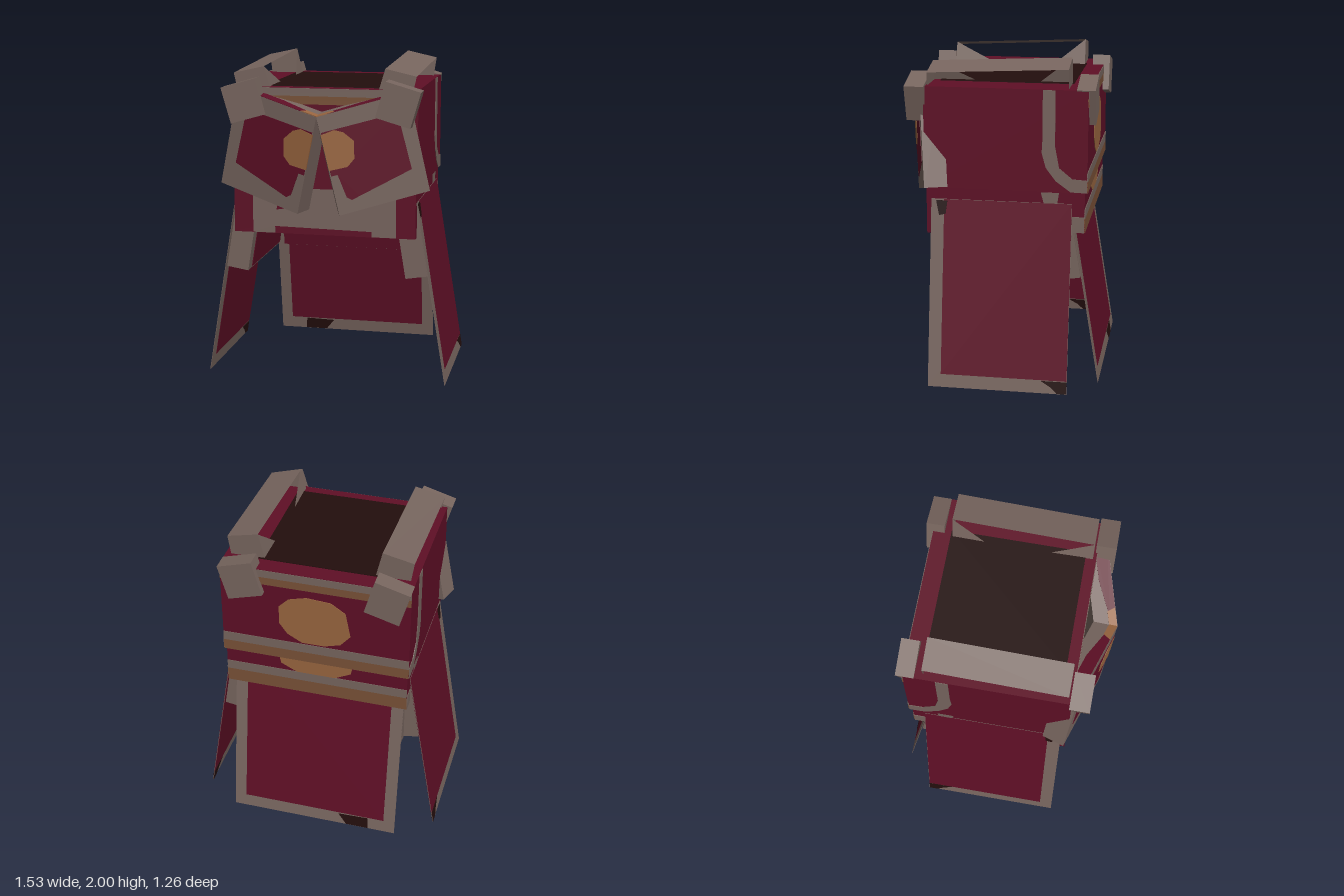
import * as THREE from 'three';

const mat = (name, color, side = THREE.FrontSide) => {
  const m = new THREE.MeshStandardMaterial({ color, side });
  m.name = name;
  return m;
};
const V = (a) => new THREE.Vector3(...a);

// Coordinate frame from an origin and two in-plane axes; the third is their unit normal
function frame(o, x, y) {
  const X = V(x), Y = V(y), N = X.clone().cross(Y).normalize();
  return new THREE.Matrix4().makeBasis(X, Y, N).setPosition(V(o));
}

export function createModel() {
  const root = new THREE.Group();
  root.name = 'armour';
  const cloth = mat('maroon', 0x5f0f26);
  const trim = mat('taupe trim', 0x78665f, THREE.DoubleSide);
  const gold = mat('ochre', 0x9a6640);
  const band = mat('brown band', 0x7a5238);
  const dark = mat('dark lining', 0x230e0d);

  const add = (name, geo, material) => {
    const mesh = new THREE.Mesh(geo, material);
    mesh.name = name;
    root.add(mesh);
    return mesh;
  };
  // Axis-aligned block in a frame, given by its ranges
  const block = (name, material, F, [x0, x1], [y0, y1], [z0, z1]) => {
    const g = new THREE.BoxGeometry(x1 - x0, y1 - y0, z1 - z0);
    g.translate((x0 + x1) / 2, (y0 + y1) / 2, (z0 + z1) / 2).applyMatrix4(F);
    return add(name, g, material);
  };
  // Thin painted plate centred on the frame's plane
  const plate = (name, material, F, pts, depth = 0.008, z = 0) => {
    const shape = new THREE.Shape(pts.map((p) => new THREE.Vector2(...p)));
    const g = new THREE.ExtrudeGeometry(shape, { depth, bevelEnabled: false });
    g.translate(0, 0, z - depth / 2).applyMatrix4(F);
    return add(name, g, material);
  };
  const rect = (x0, x1, y0, y1) => [[x0, y0], [x1, y0], [x1, y1], [x0, y1]];
  const world = new THREE.Matrix4();
  const wall = (z) => frame([0, 0, z], [1, 0, 0], [0, 1, 0]);

  // Upper body with dark neck opening and underside
  block('upperBody', [cloth, cloth, cloth, dark, cloth, cloth], world, [-0.58, 0.58], [1.22, 1.84], [-0.55, 0.44]);
  plate('neckOpening', dark, frame([0, 1.84, 0], [1, 0, 0], [0, 0, -1]), rect(-0.375, 0.375, -0.375, 0.44));
  for (const z of [0.44, -0.55]) {
    plate('collarTrim', trim, wall(z), rect(-0.58, 0.58, 1.79, 1.838));
    plate('collarBand', band, wall(z), rect(-0.58, 0.58, 1.74, 1.79));
  }

  // Lower body: front and back plates joined by the sides
  block('lowerFront', [cloth, cloth, cloth, dark, cloth, dark], world, [-0.57, 0.57], [0.93, 1.22], [0.35, 0.43]);
  plate('lowerFrontTrim', trim, wall(0.43),
    [[-0.45, 0.932], [-0.31, 0.932], [-0.31, 0.975], [0.3, 0.965], [0.3, 0.932], [0.45, 0.932], [0.45, 1.22], [-0.45, 1.22]]);
  plate('lowerFrontMark', cloth, wall(0.43), [[-0.3, 1.08], [-0.24, 1.09], [-0.22, 1.13], [-0.29, 1.12]], 0.0095);
  block('lowerBack', cloth, world, [-0.57, 0.57], [0.97, 1.22], [-0.535, -0.46]);

  // Back bands and emblem shapes
  const back = wall(-0.55), lowBack = wall(-0.535);
  plate('backTrim', trim, back, rect(-0.58, 0.58, 1.29, 1.35));
  plate('backBand', band, back, rect(-0.58, 0.58, 1.222, 1.29));
  plate('lowerBackTrim', trim, lowBack, rect(-0.57, 0.57, 1.06, 1.12));
  plate('lowerBackBand', band, lowBack, rect(-0.57, 0.57, 0.972, 1.06));
  plate('backDisc', gold, back, [[-0.22, 1.46], [-0.16, 1.39], [-0.06, 1.36], [0.08, 1.36], [0.17, 1.41],
    [0.22, 1.48], [0.22, 1.6], [0.16, 1.66], [0.05, 1.69], [-0.1, 1.68], [-0.19, 1.62]]);
  plate('lowerBackDisc', gold, lowBack, [[-0.23, 1.218], [-0.22, 1.17], [-0.12, 1.12], [0.12, 1.12], [0.22, 1.17], [0.23, 1.218]]);

  // Hanging back panel and its padded lining
  const slope = 0.165;
  const backF = frame([0, 0, -0.63], [1, 0, 0], [0, 1, slope]);
  plate('backPanel', trim, backF, rect(-0.54, 0.54, 0, 1.15), 0.003);
  plate('backPanelCloth', cloth, backF, rect(-0.465, 0.465, 0.08, 1.15), 0.007);
  plate('backPanelNotch', dark, backF, [[-0.365, 0.002], [-0.22, 0.002], [-0.165, 0.07], [-0.36, 0.075]], 0.007);
  block('backLining', trim, backF, [-0.54, 0.54], [0.68, 1.18], [0.006, 0.12]);
  plate('backLiningCloth', cloth, backF, rect(-0.465, 0.465, 0.682, 1.15), 0.008, 0.12);

  for (const m of [1, -1]) {
    const flip = (pts) => pts.map(([x, y]) => [m * x, y]);
    const span = (a, b) => (m > 0 ? [a, b] : [-b, -a]);

    // Body sides with the curved stripe
    block('lowerSide', [cloth, cloth, cloth, dark, cloth, cloth], world, span(0.5, 0.57), [1.05, 1.22], [-0.46, 0.35]);
    const sideF = frame([m * 0.58, 0, 0], [0, 0, -1], [0, 1, 0]);
    plate('sideStripe', trim, sideF, [[0.28, 1.838], [0.355, 1.838], [0.355, 1.5], [0.38, 1.37], [0.46, 1.305],
      [0.548, 1.3], [0.548, 1.222], [0.45, 1.225], [0.36, 1.29], [0.3, 1.37], [0.275, 1.46], [0.28, 1.55]]);
    const lowF = frame([m * 0.57, 0, 0], [0, 0, -1], [0, 1, 0]);
    plate('sideMark', trim, lowF, [[0.27, 1.215], [0.38, 1.215], [0.37, 1.15], [0.29, 1.14]]);
    plate('lowerBackEdge', trim, lowF, rect(0.46, 0.533, 0.972, 1.07));

    // Hanging side panel and its padded lining
    const panelF = frame([m * 0.76, 0, 0], [0, 0, -1], [-m * slope, 1, 0]);
    plate('sidePanel', trim, panelF, rect(-0.4, 0.46, 0, 1.15), 0.003);
    plate('sidePanelCloth', cloth, panelF, rect(-0.32, 0.458, 0.08, 1.148), 0.007);
    plate('sidePanelNotch', dark, panelF, [[0.458, 0.002], [0.4, 0.002], [0.36, 0.04], [0.3, 0.075], [0.458, 0.075]], 0.007);
    plate('sidePanelTopNotch', dark, panelF, [[-0.37, 1.14], [-0.3, 1.14], [-0.31, 1.06], [-0.35, 1.05]], 0.009);
    block('sideLining', trim, panelF, [-0.38, 0.44], [0.69, 1.2], m > 0 ? [-0.145, -0.006] : [0.006, 0.145]);
    plate('sideLiningCloth', cloth, panelF, rect(-0.3, 0.43, 0.7, 1.15), 0.008, -m * 0.145);

    // Tilted chest flap, drawn in its own frame: across, then down
    const o = [0, 1.69, 0.63];
    const across = [0.525, m * 0.145, -m * 0.155], up = [-m * 0.13, 0.6, 0.05];
    const flapF = frame(o, across, up);
    block('chestFlap', trim, flapF, span(0, 1), [-1, 0], [-0.14, 0]);
    plate('chestFlapCloth', cloth, flapF, flip([[0.01, -0.16], [0.84, -0.17], [0.86, -0.74], [0.26, -0.86],
      [0.17, -0.88], [0.12, -0.84], [0.08, -0.6], [0.01, -0.6]]), 0.006);
    plate('chestDisc', gold, flapF, flip([[0, -0.18], [0.15, -0.165], [0.24, -0.21], [0.33, -0.32],
      [0.29, -0.49], [0.2, -0.55], [0, -0.54]]), 0.0095);
    const normal = V(across).cross(V(up)).normalize().toArray();
    const topF = frame(o, across, normal);
    plate('flapTopCloth', cloth, topF, flip([[0.1, -0.002], [0.95, -0.002], [0.95, -0.08], [0.5, -0.08], [0.1, -0.04]]), 0.006);
    plate('flapTopMark', gold, topF, flip([[0, -0.002], [0.2, -0.002], [0.17, -0.05], [0, -0.05]]), 0.0095);

    // Shoulder pads front and back
    for (const [x, z, d] of [[0.475, 0.49, 0.12], [0.445, -0.535, 0.11]]) {
      const pad = add('shoulderPad', new THREE.BoxGeometry(0.22, 0.225, d), trim);
      pad.position.set(m * x, 1.763, z);
      pad.rotation.z = -m * 0.28;
    }

    // Shoulder strap: tilted sheet with end walls and inner gussets
    const of = [0.565, 1.92, 0.42], inf = [0.375, 1.963, 0.42];
    const ob = [0.565, 1.958, -0.43], inb = [0.375, 2, -0.43];
    const faces = [
      [of, ob, inb, inf],
      [of, inf, [0.335, 1.83, 0.42], [0.545, 1.83, 0.42]],
      [ob, [0.545, 1.83, -0.43], [0.335, 1.83, -0.43], inb],
      [inf, [0.335, 1.84, 0.16], [0.335, 1.83, 0.42]],
      [inb, [0.335, 1.83, -0.43], [0.335, 1.84, -0.23]],
    ];
    const pos = [];
    for (const f of faces) {
      for (let i = 1; i + 1 < f.length; i++) {
        const tri = m > 0 ? [f[0], f[i], f[i + 1]] : [f[0], f[i + 1], f[i]];
        for (const [x, y, z] of tri) pos.push(m * x, y, z);
      }
    }
    const strap = new THREE.BufferGeometry();
    strap.setAttribute('position', new THREE.Float32BufferAttribute(pos, 3));
    strap.computeVertexNormals();
    add('shoulderStrap', strap, trim);
  }
  return root;
}
